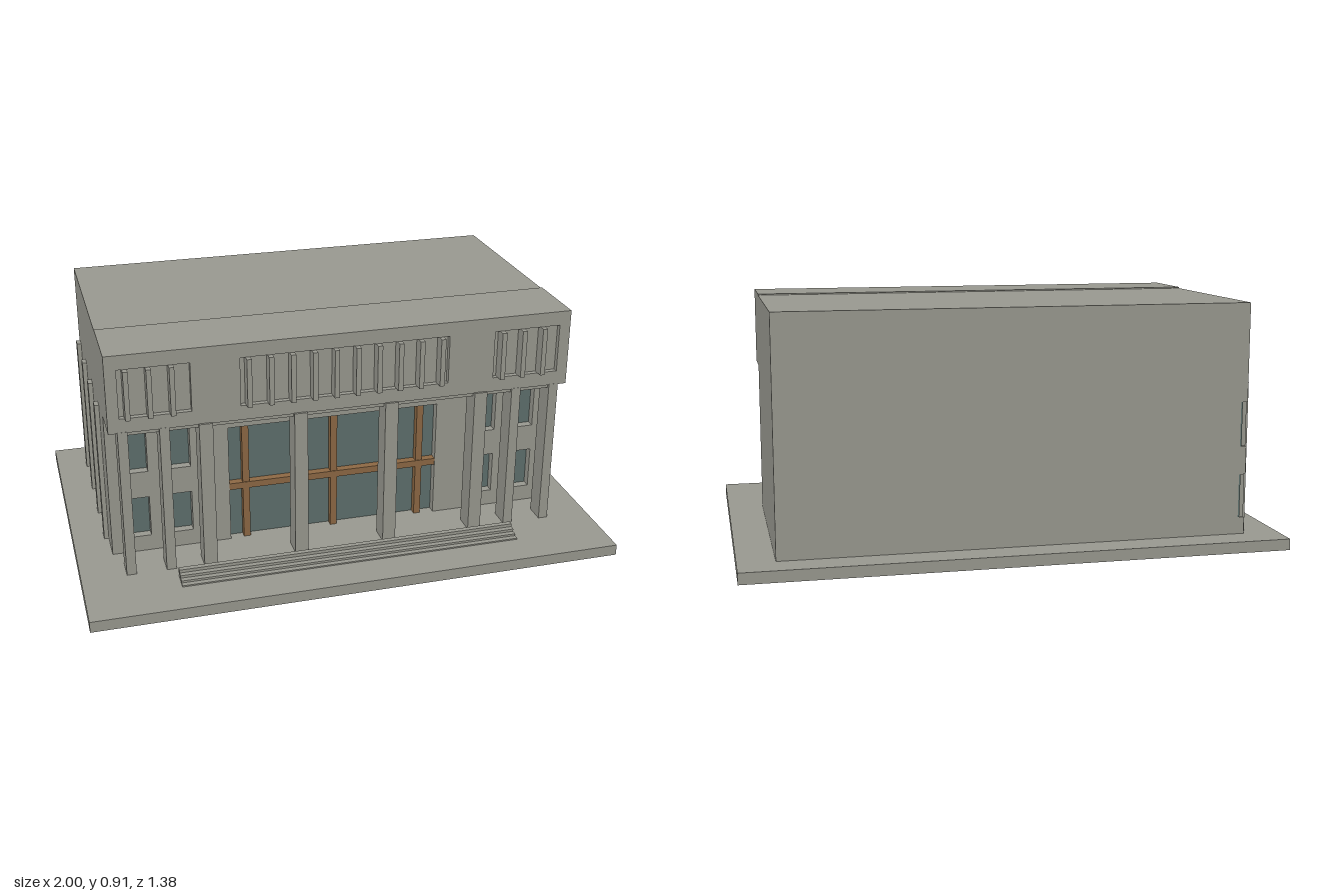
import * as THREE from 'three';

const mat = (name, color) => {
  const m = new THREE.MeshStandardMaterial({ color });
  m.name = name;
  return m;
};

export function createModel() {
  const concrete = mat('concrete', 0x9b9b92);
  const glass = mat('glass', 0x5f716e);
  const wood = mat('wood', 0x8f6a45);
  const model = new THREE.Group();

  const add = (name, geometry, material) => {
    const m = new THREE.Mesh(geometry, material);
    m.name = name;
    model.add(m);
    return m;
  };
  // Box given by its limits on each axis
  const block = (name, [x0, x1], [y0, y1], [z0, z1], material = concrete) => {
    const g = new THREE.BoxGeometry(x1 - x0, y1 - y0, z1 - z0);
    g.translate((x0 + x1) / 2, (y0 + y1) / 2, (z0 + z1) / 2);
    return add(name, g, material);
  };
  const outline = (pts) => new THREE.Shape(pts.map(([x, y]) => new THREE.Vector2(x, y)));
  const hole = (shape, [x0, x1], [y0, y1]) => {
    const p = new THREE.Path();
    p.moveTo(x0, y0).lineTo(x0, y1).lineTo(x1, y1).lineTo(x1, y0).closePath();
    shape.holes.push(p);
  };
  const extrude = (shape, depth) => new THREE.ExtrudeGeometry(shape, { depth, bevelEnabled: false });

  const G = 0.042; // ground slab top
  const W = 0.865; // half width of the building
  const ROOF = 0.905;
  const BACK = -0.575;
  const EAVE = 0.617; // underside of the overhang
  const rows = [[0.105, 0.268], [0.374, 0.54]];

  block('groundSlab', [-1, 1], [0, G], [-0.688, 0.688]);
  block('buildingCore', [-0.84, W], [G, ROOF], [BACK, 0.215]);

  // Front wall with entrance opening and windows
  const front = outline([[-W, G], [-0.41, G], [-0.41, 0.513], [0.41, 0.513], [0.41, G],
    [W, G], [W, ROOF], [-W, ROOF]]);
  for (const y of rows) {
    for (const x of [[-0.815, -0.715], [-0.655, -0.555], [0.555, 0.655], [0.715, 0.815]]) {
      hole(front, x, y);
      block('frontWindow', x, y, [0.215, 0.222], glass);
    }
  }
  add('frontWall', extrude(front, 0.04).translate(0, 0, 0.215), concrete);

  // Glazed entrance with timber frame
  block('entranceGlass', [-0.41, 0.41], [G, 0.513], [0.215, 0.222], glass);
  for (const x of [-0.345, 0, 0.345]) {
    block('entranceMullion', [x - 0.013, x + 0.013], [G, 0.513], [0.222, 0.25], wood);
  }
  block('entranceTransom', [-0.41, 0.41], [0.252, 0.278], [0.222, 0.253], wood);

  // Right side wall; its last windows run out at the rear corner
  const edge = -0.565;
  const side = outline([[BACK, G], [0.215, G], [0.215, ROOF], [BACK, ROOF],
    [BACK, rows[1][1]], [edge, rows[1][1]], [edge, rows[1][0]], [BACK, rows[1][0]],
    [BACK, rows[0][1]], [edge, rows[0][1]], [edge, rows[0][0]], [BACK, rows[0][0]]]);
  for (const y of rows) {
    block('sideWindow', [-0.846, -0.84], y, [BACK, edge], glass);
    for (const z of [-0.41, -0.2, 0.01]) {
      hole(side, [z - 0.05, z + 0.05], y);
      block('sideWindow', [-0.846, -0.84], y, [z - 0.05, z + 0.05], glass);
    }
  }
  add('sideWall', extrude(side, 0.025).rotateY(-Math.PI / 2).translate(-0.84, 0, 0), concrete);
  for (let i = 0; i < 4; i++) {
    const z = -0.52 + i * 0.21;
    block('sidePilaster', [-0.882, -W], [G, 0.605], [z - 0.02, z + 0.02]);
  }

  // Overhanging upper front with recessed bays and vertical fins
  block('overhang', [-W, W], [EAVE, ROOF], [0.255, 0.395]);
  block('roofCap', [-W, W], [ROOF, 0.91], [0.15, 0.395]);
  const fascia = outline([[-W, EAVE], [W, EAVE], [W, 0.91], [-W, 0.91]]);
  for (const [x0, x1, fins] of [[-0.823, -0.567, 3], [-0.39, 0.39, 10], [0.567, 0.823, 3]]) {
    hole(fascia, [x0, x1], [0.672, 0.856]);
    for (let i = 0; i < fins; i++) {
      const x = x0 + 0.028 + i * 0.08;
      block('fin', [x - 0.009, x + 0.009], [0.672, 0.856], [0.395, 0.44]);
    }
  }
  add('fascia', extrude(fascia, 0.02).translate(0, 0, 0.395), concrete);

  // Porch columns: four wide ones stand slightly proud, the rest are slim
  for (const x of [-0.52, -0.172, 0.172, 0.52]) {
    block('wideColumn', [x - 0.025, x + 0.025], [G, 0.62], [0.344, 0.424]);
  }
  for (const x of [-0.815, -0.667, 0.664, 0.815]) {
    block('slimColumn', [x - 0.018, x + 0.018], [G, 0.62], [0.337, 0.416]);
  }
  block('porchBeam', [-0.815, 0.815], [0.602, EAVE], [0.35, 0.405]);

  // Entrance steps
  [0.077, 0.065, 0.055, 0.047].forEach((h, i) => {
    block('step', [-0.65, 0.65], [G, h], [0.468 + i * 0.02, 0.488 + i * 0.02]);
  });

  return model;
}
